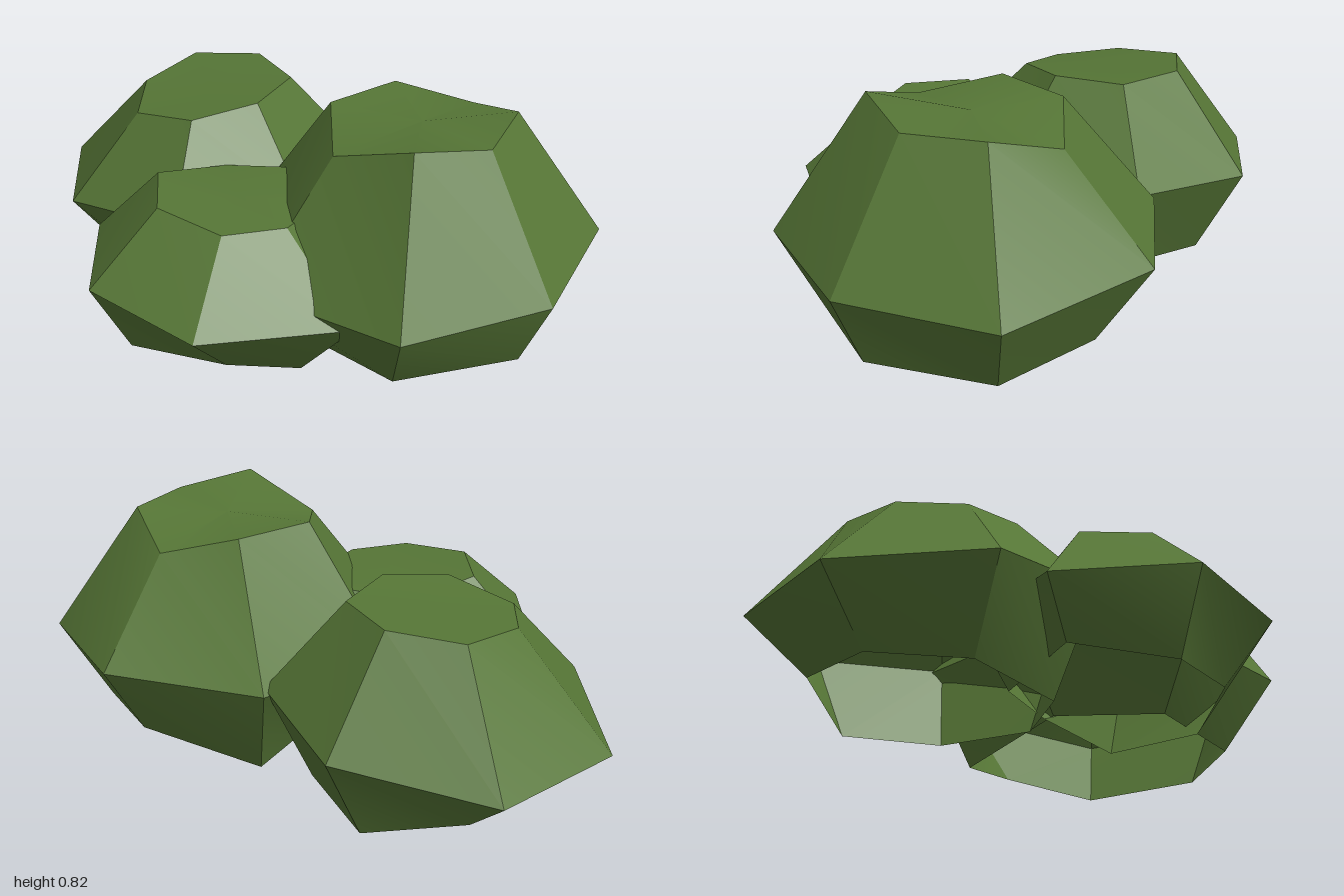
import * as THREE from 'three';
import { toCreasedNormals } from 'three/addons/utils/BufferGeometryUtils.js';

const RING_SIZE = 7;
const CREASE = 0.45;

// Faceted shell lofted through horizontal rings (bottom to top, clockwise from above),
// capped on top and open underneath
function clumpGeometry(rings) {
  const pos = [];
  const tri = (...pts) => pts.forEach((p) => pos.push(...p));
  const top = rings[rings.length - 1];
  const topMid = [0, 1, 2].map((k) => top.reduce((s, p) => s + p[k], 0) / RING_SIZE);
  for (let i = 0; i < RING_SIZE; i++) {
    const j = (i + 1) % RING_SIZE;
    for (let r = 0; r < rings.length - 1; r++) {
      const a = rings[r], b = rings[r + 1];
      tri(a[i], b[i], b[j]);
      tri(a[i], b[j], a[j]);
    }
    tri(topMid, top[j], top[i]);
  }
  const geo = new THREE.BufferGeometry();
  geo.setAttribute('position', new THREE.Float32BufferAttribute(pos, 3));
  return toCreasedNormals(geo, CREASE);
}

// Each clump: bottom ring, widest ring, top ring
const CLUMPS = {
  rightClump: [
    [[-0.8, 0.08, -0.18], [-0.54, 0.01, -0.4], [-0.2, 0.03, -0.32], [-0.06, 0.02, 0],
      [-0.2, 0, 0.3], [-0.53, 0.04, 0.34], [-0.79, 0.06, 0.14]],
    [[-1, 0.26, -0.25], [-0.57, 0.33, -0.56], [-0.12, 0.37, -0.45], [0.06, 0.38, 0],
      [-0.12, 0.37, 0.42], [-0.58, 0.31, 0.53], [-1, 0.26, 0.23]],
    [[-0.72, 0.65, -0.14], [-0.52, 0.67, -0.29], [-0.28, 0.67, -0.24], [-0.19, 0.67, -0.01],
      [-0.28, 0.64, 0.21], [-0.52, 0.6, 0.27], [-0.69, 0.62, 0.11]],
  ],
  leftClump: [
    [[-0.02, 0.01, -0.4], [0.33, 0.1, -0.64], [0.68, 0.065, -0.56], [0.89, 0.09, -0.2],
      [0.69, 0.07, 0.17], [0.32, 0.1, 0.25], [0.04, 0.1, 0]],
    [[-0.16, 0.36, -0.48], [0.27, 0.385, -0.81], [0.8, 0.345, -0.69], [1, 0.345, -0.2],
      [0.83, 0.34, 0.29], [0.28, 0.31, 0.42], [-0.14, 0.33, 0.06]],
    [[0.15, 0.775, -0.34], [0.35, 0.71, -0.52], [0.6, 0.79, -0.45], [0.71, 0.78, -0.2],
      [0.62, 0.82, 0.05], [0.34, 0.72, 0.12], [0.13, 0.775, -0.06]],
  ],
  frontClump: [
    [[-0.28, 0.12, 0.46], [-0.24, 0.08, 0.12], [0, 0.08, 0], [0.35, 0.05, -0.06],
      [0.41, 0.03, 0.31], [0.31, 0.1, 0.54], [-0.02, 0.06, 0.68]],
    [[-0.41, 0.29, 0.53], [-0.38, 0.29, 0.1], [0, 0.29, -0.17], [0.43, 0.28, -0.1],
      [0.62, 0.28, 0.28], [0.37, 0.29, 0.71], [-0.04, 0.325, 0.81]],
    [[-0.19, 0.55, 0.42], [-0.14, 0.51, 0.17], [0.05, 0.53, 0.03], [0.28, 0.52, 0.1],
      [0.33, 0.525, 0.3], [0.24, 0.53, 0.49], [0, 0.55, 0.56]],
  ],
};

export function createModel() {
  const leafGreen = new THREE.MeshStandardMaterial({ color: 0x567636, side: THREE.DoubleSide });
  leafGreen.name = 'leafGreen';

  const bush = new THREE.Group();
  bush.name = 'bush';
  for (const [name, rings] of Object.entries(CLUMPS)) {
    const mesh = new THREE.Mesh(clumpGeometry(rings), leafGreen);
    mesh.name = name;
    bush.add(mesh);
  }
  return bush;
}
